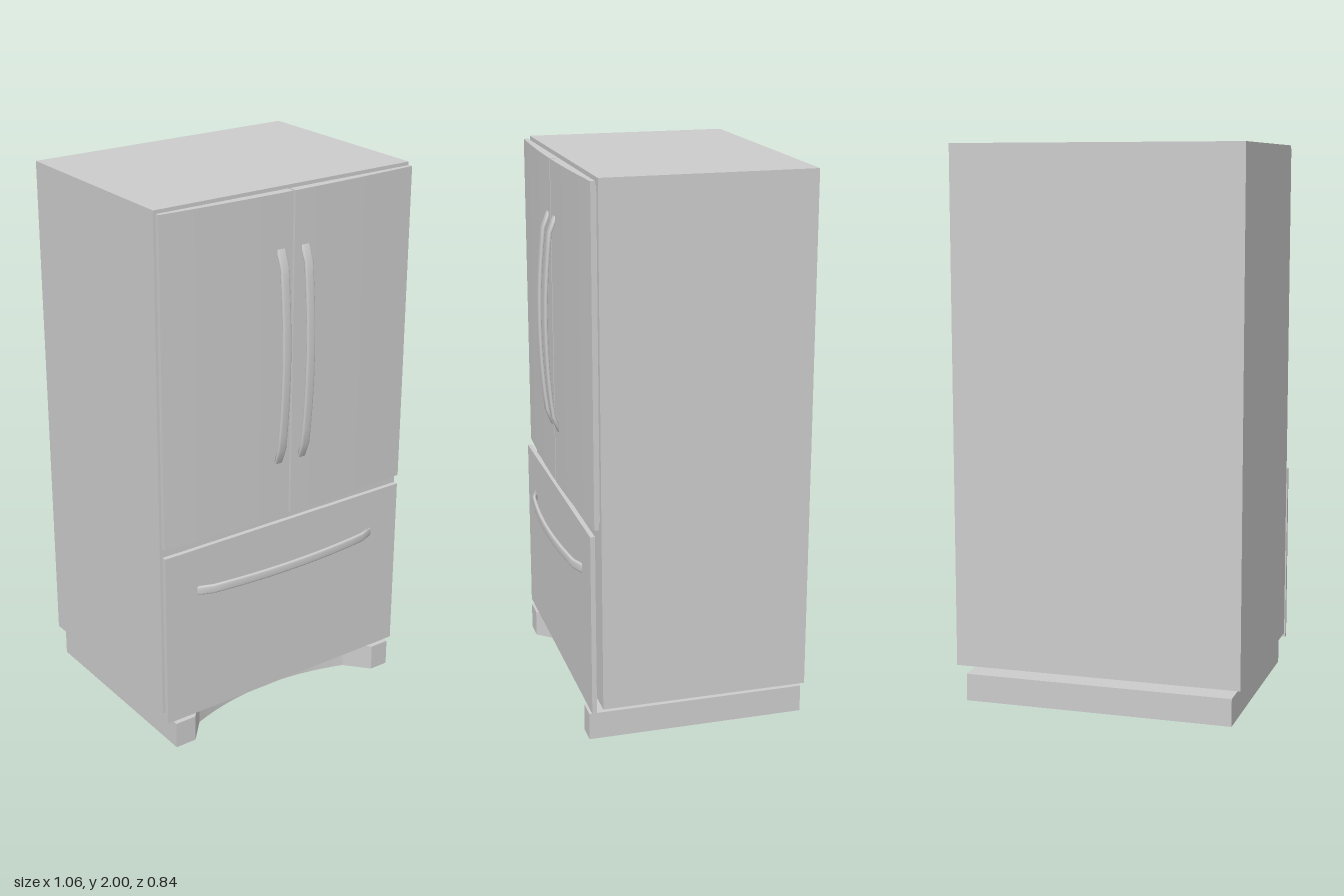
import * as THREE from 'three';

const material = new THREE.MeshStandardMaterial({ color: 0xcccccc, side: THREE.DoubleSide });

function addMesh(parent, name, geometry) {
  const mesh = new THREE.Mesh(geometry, material);
  mesh.name = name;
  parent.add(mesh);
  return mesh;
}

// Box given by its min and max on each axis
function addBox(parent, name, [x0, x1], [y0, y1], [z0, z1]) {
  const mesh = addMesh(parent, name, new THREE.BoxGeometry(x1 - x0, y1 - y0, z1 - z0));
  mesh.position.set((x0 + x1) / 2, (y0 + y1) / 2, (z0 + z1) / 2);
  return mesh;
}

// Plan outline of [x, z] points, raised from y0 to y1
function planGeometry(points, y0, y1) {
  const shape = new THREE.Shape(points.map(([x, z]) => new THREE.Vector2(x, -z)));
  const geometry = new THREE.ExtrudeGeometry(shape, { depth: y1 - y0, bevelEnabled: false });
  geometry.rotateX(-Math.PI / 2);
  geometry.translate(0, y0, 0);
  return geometry;
}

// Bowed bar along x: a rounded flat section lofted along a shallow arch
function handleGeometry() {
  const half = 0.39, width = 0.017, thick = 0.007, sides = 16;
  const path = [[-half, 0.366], [-0.335, 0.387]];
  for (let i = 1; i < 12; i++) {
    const x = -0.335 + (0.67 * i) / 12;
    path.push([x, 0.408 - 0.021 * (x / 0.335) ** 2]);
  }
  path.push([0.335, 0.387], [half, 0.366]);

  const positions = [], index = [];
  const soften = (v) => Math.sign(v) * Math.abs(v) ** 0.6;
  path.forEach(([x, z], i) => {
    const a = path[Math.max(i - 1, 0)], b = path[Math.min(i + 1, path.length - 1)];
    const length = Math.hypot(b[0] - a[0], b[1] - a[1]);
    const nx = -(b[1] - a[1]) / length, nz = (b[0] - a[0]) / length;
    for (let j = 0; j < sides; j++) {
      const angle = (j / sides) * Math.PI * 2;
      const t = soften(Math.sin(angle)) * thick;
      positions.push(x + nx * t, soften(Math.cos(angle)) * width, z + nz * t);
      if (i > 0) {
        const k = (j + 1) % sides, p = (i - 1) * sides, q = i * sides;
        index.push(p + j, q + j, p + k, q + j, q + k, p + k);
      }
    }
  });
  // End caps
  const last = (path.length - 1) * sides;
  for (let j = 1; j < sides - 1; j++) {
    index.push(0, j, j + 1, last, last + j + 1, last + j);
  }
  const geometry = new THREE.BufferGeometry();
  geometry.setAttribute('position', new THREE.Float32BufferAttribute(positions, 3));
  geometry.setIndex(index);
  geometry.computeVertexNormals();
  return geometry;
}

export function createModel() {
  const model = new THREE.Group();
  model.name = 'refrigerator';

  addBox(model, 'cabinet', [-0.527, 0.527], [0.13, 2], [-0.42, 0.333]);

  // Plinth with two front feet and a hollowed toe space between them
  const plinth = [[-0.497, -0.42], [-0.497, 0.375], [-0.415, 0.375]];
  for (let i = 0; i <= 16; i++) {
    const x = -0.34 + (0.68 * i) / 16;
    plinth.push([x, 0.23 + 0.06 * (x / 0.34) ** 2]);
  }
  plinth.push([0.415, 0.375], [0.49, 0.375], [0.49, -0.42]);
  addMesh(model, 'plinth', planGeometry(plinth, 0, 0.1));

  // Pair of doors whose fronts bow gently towards the middle
  for (const side of [-1, 1]) {
    const name = side > 0 ? 'left' : 'right';
    const outline = [[side * 0.004, 0.341]];
    for (let i = 0; i <= 12; i++) {
      const x = 0.004 + (0.519 * i) / 12;
      outline.push([side * x, 0.373 - 0.016 * (x / 0.523) ** 2]);
    }
    outline.push([side * 0.523, 0.341]);
    addMesh(model, name + 'Door', planGeometry(outline, 0.805, 1.99));

    const seal = [0.03, 0.505].map((x) => x * side).sort((a, b) => a - b);
    addBox(model, name + 'DoorSeal', seal, [0.825, 1.97], [0.331, 0.343]);

    const handle = addMesh(model, name + 'DoorHandle', handleGeometry());
    handle.rotation.z = Math.PI / 2;
    handle.position.set(side * 0.051, 1.407, 0.003);
  }

  // Freezer drawer standing slightly clear of the cabinet
  addBox(model, 'drawer', [-0.528, 0.511], [0.11, 0.777], [0.352, 0.369]);
  const drawerHandle = addMesh(model, 'drawerHandle', handleGeometry());
  drawerHandle.position.set(-0.005, 0.612, 0);

  return model;
}
